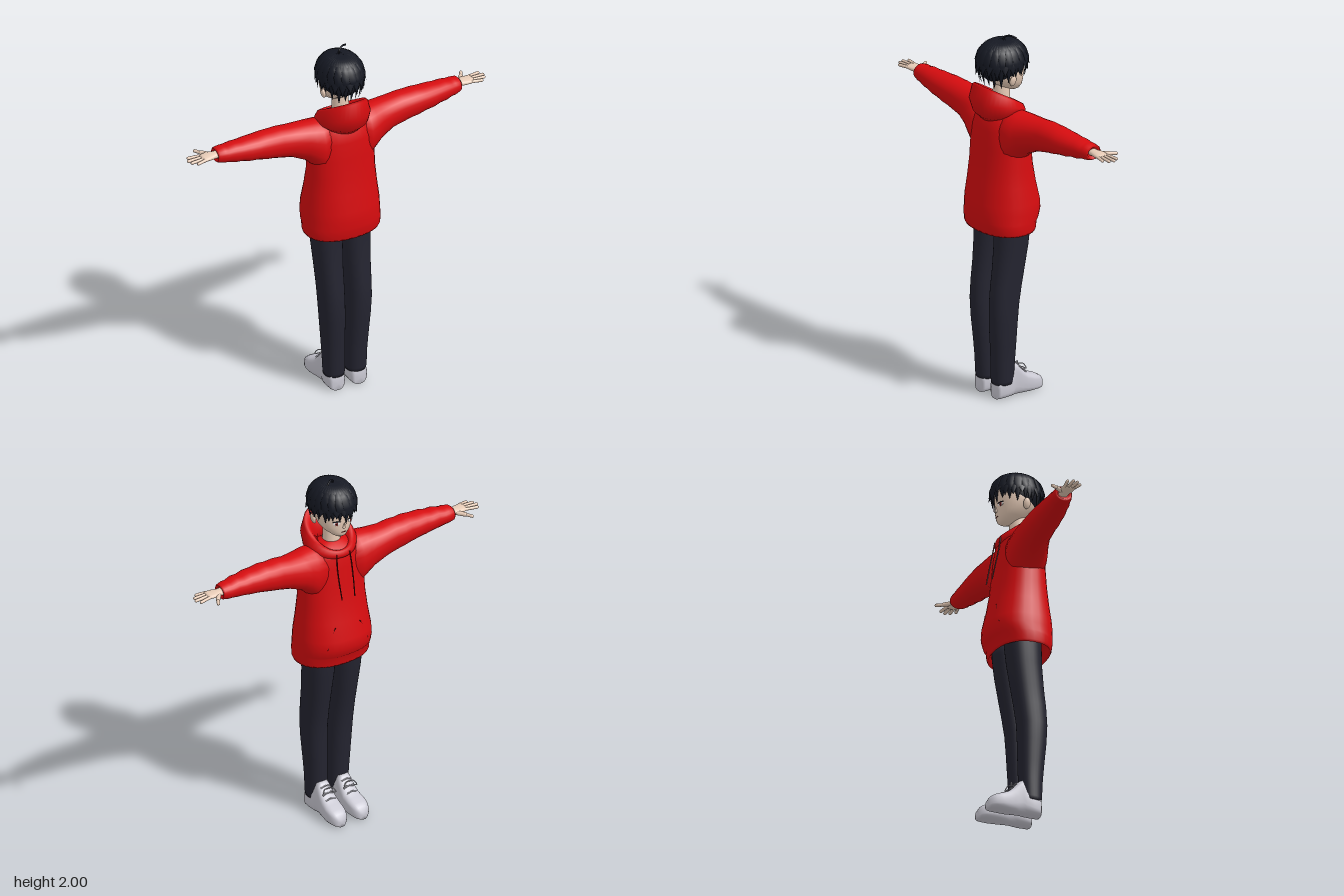
import * as THREE from 'three';

const mat = (name, color) => Object.assign(new THREE.MeshStandardMaterial({ color }), { name });
const V = (x, y, z) => new THREE.Vector3(x, y, z);

// Skin a list of equal-length point rings; ends are capped, or joined when closed
function loft(rings, closed = false) {
  const n = rings[0].length, m = rings.length, pos = [], idx = [];
  rings.forEach(r => r.forEach(p => pos.push(p.x, p.y, p.z)));
  for (let i = 0; i < (closed ? m : m - 1); i++) {
    const k = (i + 1) % m;
    for (let j = 0; j < n; j++) {
      const j2 = (j + 1) % n, a = i * n + j, b = i * n + j2, c = k * n + j, d = k * n + j2;
      idx.push(a, b, c, b, d, c);
    }
  }
  if (!closed) [0, m - 1].forEach(i => {
    const c = pos.length / 3, mid = V(0, 0, 0);
    rings[i].forEach(p => mid.addScaledVector(p, 1 / n));
    pos.push(mid.x, mid.y, mid.z);
    for (let j = 0; j < n; j++) {
      const a = i * n + j, b = i * n + (j + 1) % n;
      if (i) idx.push(c, a, b); else idx.push(c, b, a);
    }
  });
  // Turn the faces outward using the enclosed volume
  const at = i => V(pos[i * 3], pos[i * 3 + 1], pos[i * 3 + 2]);
  let vol = 0;
  for (let i = 0; i < idx.length; i += 3) vol += at(idx[i]).dot(at(idx[i + 1]).cross(at(idx[i + 2])));
  if (vol < 0) idx.reverse();
  const g = new THREE.BufferGeometry();
  g.setAttribute('position', new THREE.Float32BufferAttribute(pos, 3));
  g.setIndex(idx);
  g.computeVertexNormals();
  return g;
}

const around = (n, f) => Array.from({ length: n }, (_, i) => f(i / n * Math.PI * 2));
const soft = (v, e) => Math.sign(v) * Math.abs(v) ** e;

// Level ring with separate back and front depth
const level = (y, rx, back, front, cx = 0, e = 0.88) => around(32, a => V(
  cx + rx * soft(Math.sin(a), e), y, (back + front) / 2 + (back - front) / 2 * soft(Math.cos(a), e)));

// Ring across the x axis
const across = (x, top, bottom, back, front) => around(24, a => V(
  x, (top + bottom) / 2 + (top - bottom) / 2 * soft(Math.sin(a), 0.9), (back + front) / 2 + (back - front) / 2 * Math.cos(a)));

// Leaning ring through back [y, z], side [x, y, z] and front [y, z]
const leaning = (b, s, f) => around(40, a => {
  const c = Math.cos(a), e = c > 0 ? b : f, t = Math.abs(c);
  return V(s[0] * Math.sin(a), s[1] + (e[0] - s[1]) * t, s[2] + (e[1] - s[2]) * t);
});

export function createModel() {
  const model = new THREE.Group();
  model.name = 'hoodedFigure';
  const red = mat('hoodieRed', 0xd60c0f), cord = mat('seamDarkRed', 0x5a0709), navy = mat('trouserNavy', 0x242430);
  const black = mat('hairBlack', 0x151822), skin = mat('skin', 0xebcfba), white = mat('eyeWhite', 0xf2efef);
  const shoeGrey = mat('shoeGrey', 0xc9c8d2), iris = mat('irisRed', 0x8a2a26);

  const add = (name, geo, material, parent = model) => {
    const m = new THREE.Mesh(geo, material);
    m.name = name;
    parent.add(m);
    return m;
  };
  const tube = (name, pts, r, material, parent) => add(name,
    new THREE.TubeGeometry(new THREE.CatmullRomCurve3(pts), 16, r, 6), material, parent);
  const ball = (name, p, s, material, parent) => {
    const m = add(name, new THREE.SphereGeometry(1, 20, 14), material, parent);
    m.position.copy(p);
    m.scale.copy(s);
    return m;
  };
  const finger = (name, a, b, r) => {
    const m = add(name, new THREE.CapsuleGeometry(r, a.distanceTo(b) - r, 4, 10), skin);
    m.position.copy(a).lerp(b, 0.5);
    m.quaternion.setFromUnitVectors(V(0, 1, 0), b.clone().sub(a).normalize());
  };

  // Hoodie body, with a recessed underside and a bulging lower front
  add('hoodieBody', loft([
    [1.0, .16, .13, -.10], [.955, .195, .155, -.115], [.937, .207, .168, -.128], [.95, .212, .175, -.135],
    [.99, .214, .18, -.14], [1.005, .213, .182, -.155], [1.05, .212, .183, -.17], [1.1, .209, .18, -.167],
    [1.2, .196, .165, -.143], [1.3, .186, .153, -.125], [1.4, .184, .144, -.113], [1.5, .175, .137, -.103],
    [1.56, .155, .123, -.095], [1.6, .125, .1, -.085], [1.63, .07, .06, -.045]
  ].map(r => level(...r))), red);

  // Lowered hood draped around the neck
  add('hood', loft([
    leaning([1.64, .085], [.07, 1.62, .02], [1.575, -.07]), leaning([1.72, .135], [.1, 1.67, .03], [1.6, -.08]),
    leaning([1.757, .158], [.118, 1.685, .035], [1.605, -.092]), leaning([1.75, .172], [.13, 1.675, .035], [1.6, -.1]),
    leaning([1.665, .192], [.146, 1.638, .03], [1.58, -.106]), leaning([1.59, .165], [.143, 1.605, .025], [1.565, -.104]),
    leaning([1.545, .12], [.11, 1.58, .015], [1.555, -.085])
  ], true), red);

  // Head and neck
  add('neck', new THREE.CylinderGeometry(.043, .05, .17, 20), skin).position.set(0, 1.65, .012);
  add('head', loft([
    [1.683, .018, -.045, -.085], [1.695, .04, -.01, -.099], [1.72, .07, .035, -.105], [1.75, .09, .075, -.108],
    [1.79, .103, .098, -.11], [1.84, .108, .112, -.112], [1.89, .1, .11, -.105], [1.94, .06, .07, -.07]
  ].map(r => level(...r, 0, 1))), skin);
  const nose = add('nose', new THREE.ConeGeometry(.01, .036, 8), skin);
  nose.position.set(0, 1.764, -.11);
  nose.rotation.x = -.25;
  add('mouth', new THREE.BoxGeometry(.026, .003, .006), cord).position.set(0, 1.72, -.104);

  // Hair cap, lower at the nape
  const cap = add('hairCap', new THREE.SphereGeometry(1, 32, 20, 0, Math.PI * 2, 0, Math.PI * .6), black);
  cap.geometry.rotateX(.42);
  cap.geometry.scale(.114, .12, .13);
  cap.position.set(0, 1.85, .008);

  // Pointed hair locks falling from the crown
  const lock = (a, tipR, tipY, width) => {
    const path = new THREE.CatmullRomCurve3([V(.15, 1.966, 0), V(.72, 1.942, 0), V(1, 1.87, 0), V(tipR, tipY, 0)]);
    const rings = [];
    for (let i = 0; i <= 9; i++) {
      const s = i / 9, p = path.getPoint(s), t = path.getTangent(s);
      const k = s < .6 ? .4 + s : Math.max(.03, (1 - s) / .4);
      const out = V(-t.y * Math.sin(a), t.x, -t.y * Math.cos(a)), side = V(Math.cos(a), 0, -Math.sin(a));
      const c = V(Math.sin(a) * .119 * p.x, p.y, .008 + Math.cos(a) * .139 * p.x);
      rings.push(around(8, q => c.clone().addScaledVector(side, width * k * Math.cos(q))
        .addScaledVector(out, .013 * k * Math.sin(q))));
    }
    add('hairLock', loft(rings), black);
  };
  for (let i = 0; i < 20; i++) {
    const a = (i + .5) / 20 * Math.PI * 2, c = Math.cos(a), wave = Math.sin(i * 2.4);
    lock(a, 1.08 + .05 * wave, 1.81 + .014 * wave - .01 * c, .032);
    const low = c > 0 ? 1.79 - .055 * c : 1.80 - .012 * -c;
    lock(a + .16, c > 0 ? 1 - .18 * c : .96, low + .014 * Math.cos(i * 1.7), .03);
  }
  tube('hairSprig', [V(0, 1.96, 0), V(.004, 1.984, -.005), V(.03, 1.995, -.022), V(.062, 1.985, -.042)], .005, black);

  for (const s of [1, -1]) {
    const side = s > 0 ? 'left' : 'right';

    // Eyes, brows and ears
    const eye = new THREE.Group();
    eye.name = side + 'Eye';
    eye.position.set(s * .043, 1.778, -.101);
    eye.rotation.y = -s * .4;
    model.add(eye);
    ball('eyeWhite', V(0, 0, 0), V(.02, .011, .003), white, eye);
    ball('iris', V(0, 0, -.001), V(.009, .011, .004), iris, eye);
    ball('pupil', V(0, 0, -.002), V(.004, .006, .004), black, eye);
    ball('upperLid', V(0, .011, -.001), V(.023, .003, .004), black, eye);
    ball(side + 'Ear', V(s * .108, 1.775, .02), V(.012, .031, .02), skin).rotation.z = -s * .25;

    // Sleeve with soft folds and a cuff
    add(side + 'Sleeve', loft([
      [.06, 1.615, 1.34, .11, -.09], [.14, 1.618, 1.33, .12, -.1], [.185, 1.617, 1.37, .108, -.1],
      [.22, 1.615, 1.4, .095, -.098], [.3, 1.615, 1.438, .074, -.094], [.36, 1.622, 1.452, .072, -.09],
      [.41, 1.62, 1.463, .068, -.09], [.45, 1.623, 1.47, .07, -.086], [.5, 1.617, 1.482, .064, -.085],
      [.55, 1.617, 1.487, .06, -.081], [.59, 1.61, 1.497, .05, -.08], [.63, 1.612, 1.5, .046, -.077],
      [.67, 1.602, 1.51, .034, -.077], [.69, 1.604, 1.51, .032, -.076], [.722, 1.598, 1.518, .022, -.073],
      [.73, 1.59, 1.525, .015, -.065], [.715, 1.582, 1.533, .008, -.058]
    ].map(([x, ...r]) => across(s * x, ...r))), red);

    // Hand
    add(side + 'Palm', loft([
      [.69, 1.578, 1.538, 0, -.05], [.735, 1.576, 1.543, 0, -.055], [.765, 1.577, 1.545, .008, -.064],
      [.8, 1.575, 1.549, .012, -.06], [.812, 1.57, 1.553, .008, -.054]
    ].map(([x, ...r]) => across(s * x, ...r))), skin);
    [[-.05, -.064, .872], [-.032, -.036, .886], [-.013, -.01, .878], [.004, .014, .853]].forEach(([z0, z1, x], i) =>
      finger(side + 'Finger' + (i + 1), V(s * .795, 1.563, z0), V(s * x, 1.56, z1), .0085));
    finger(side + 'ThumbBase', V(s * .745, 1.558, -.045), V(s * .782, 1.556, -.09), .012);
    finger(side + 'ThumbTip', V(s * .777, 1.556, -.083), V(s * .8, 1.555, -.122), .009);

    // Drawstring and pocket opening
    tube(side + 'Drawstring', [V(s * .04, 1.59, -.1), V(s * .045, 1.52, -.112), V(s * .044, 1.43, -.13), V(s * .04, 1.34, -.148)], .0035, cord);
    tube(side + 'PocketOpening', [V(s * .075, 1.18, -.139), V(s * .1, 1.13, -.14), V(s * .125, 1.06, -.142)], .003, cord);

    // Trouser leg
    add(side + 'TrouserLeg', loft([
      [.08, .054, .112, .0, .064], [.1, .056, .116, -.002, .065], [.2, .057, .12, -.008, .067], [.3, .06, .127, -.013, .071],
      [.42, .064, .137, -.018, .076], [.52, .066, .14, -.024, .08], [.62, .067, .133, -.04, .081], [.72, .07, .12, -.058, .082],
      [.85, .077, .108, -.08, .083], [.96, .083, .105, -.092, .083], [1.02, .083, .105, -.092, .083]
    ].map(([y, rx, b, f, cx]) => level(y, rx, b, f, s * cx))), navy);

    // Shoe: upright sections from heel to toe
    add(side + 'Shoe', loft([
      [.108, .032, .075], [.1, .045, .1], [.06, .05, .12], [.02, .05, .15], [.002, .046, .195], [-.02, .046, .178],
      [-.045, .049, .145], [-.075, .053, .116], [-.115, .055, .098], [-.15, .051, .085], [-.175, .041, .07], [-.19, .022, .045]
    ].map(([z, w, h]) => around(24, a => V(s * (.066 + (z < -.08 ? .003 : 0)) + w * soft(Math.cos(a), .7),
      h / 2 + h / 2 * soft(Math.sin(a), .6), z)))), shoeGrey);
    for (const [z, y] of [[-.03, .168], [-.055, .138], [-.08, .116]])
      tube(side + 'Lace', [V(s * .066 - .03, y - .006, z), V(s * .066, y + .003, z - .003), V(s * .066 + .03, y - .006, z)], .0035, shoeGrey);
    for (const d of [1, -1])
      tube(side + 'LaceBow', [V(s * .066, .16, -.045), V(s * .066 + d * .025, .165, -.06),
        V(s * .066 + d * .04, .14, -.07), V(s * .066 + d * .015, .145, -.058)], .003, shoeGrey);
  }
  return model;
}
